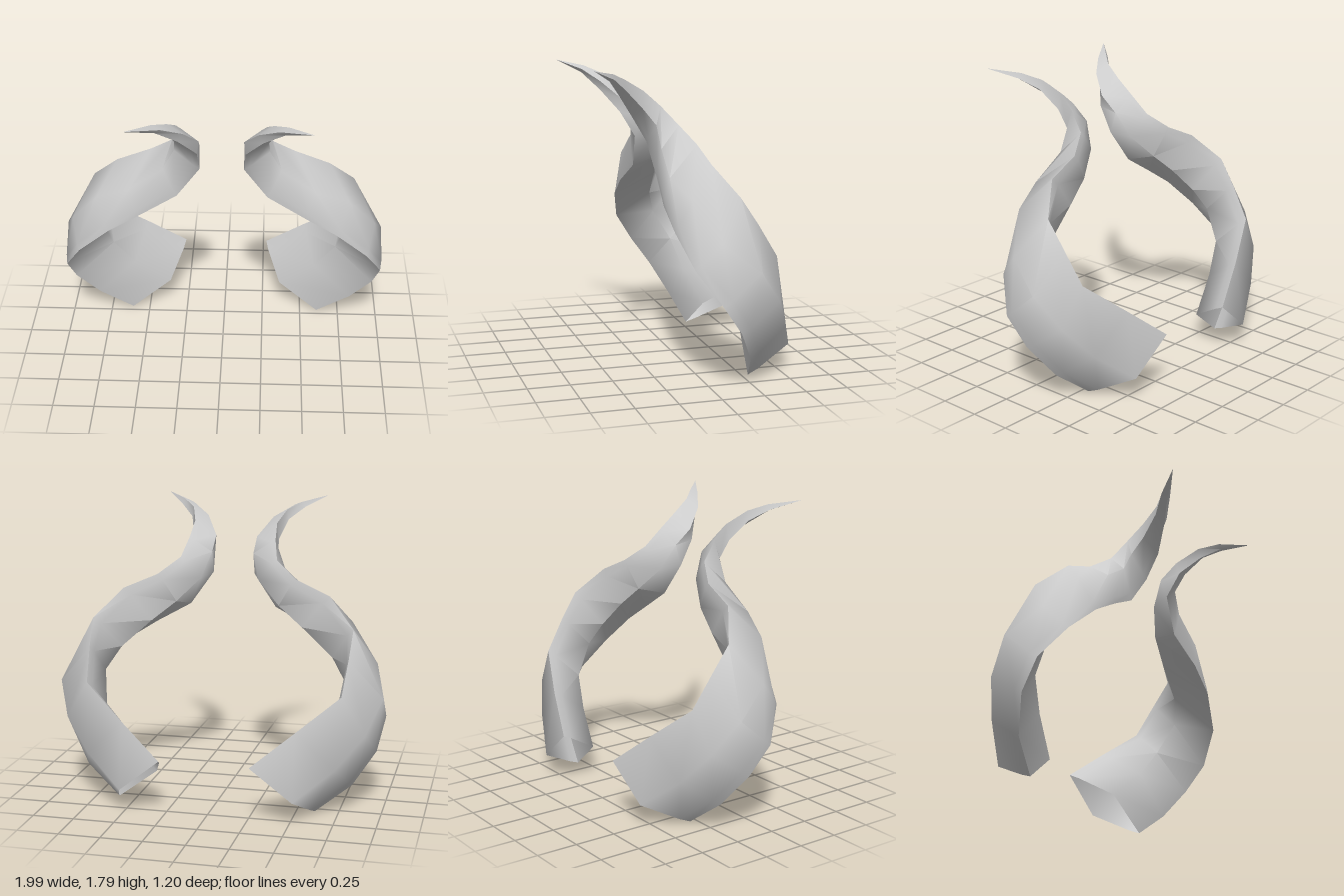
import * as THREE from 'three';
import { toCreasedNormals } from 'three/addons/utils/BufferGeometryUtils.js';

const V = (p) => new THREE.Vector3(...p);

// The four corner rails of the twisting, diamond-section horn, from base to tip
const upperRail = [
  [0.27, 0.36, -0.6], [0.52, 0.56, -0.51], [0.77, 0.76, -0.4], [0.79, 0.95, -0.28],
  [0.8, 1.11, -0.17], [0.64, 1.28, -0.05], [0.43, 1.37, -0.03], [0.3, 1.47, 0.04],
  [0.27, 1.58, 0.14], [0.26, 1.67, 0.24], [0.3, 1.74, 0.36], [0.38, 1.78, 0.45],
].map(V);
const innerRail = [
  [0.36, 0.21, -0.33], [0.58, 0.4, -0.26], [0.71, 0.58, -0.21], [0.75, 0.77, -0.1],
  [0.66, 0.91, -0.05], [0.47, 1.08, -0.03], [0.32, 1.2, 0.0], [0.18, 1.34, 0.07],
  [0.13, 1.49, 0.15], [0.13, 1.58, 0.26], [0.21, 1.69, 0.38], [0.33, 1.76, 0.47],
].map(V);
const lowerRail = [
  [0.61, 0.02, -0.29], [0.82, 0.18, -0.23], [0.95, 0.37, -0.13], [0.985, 0.54, -0.01],
  [0.88, 0.73, 0.12], [0.69, 0.91, 0.18], [0.5, 1.03, 0.19], [0.27, 1.16, 0.165],
  [0.13, 1.36, 0.19], [0.14, 1.51, 0.28], [0.24, 1.64, 0.38], [0.36, 1.74, 0.47],
].map(V);
const outerRail = [
  [0.52, 0.16, -0.58], [0.75, 0.34, -0.47], [0.91, 0.53, -0.37], [0.995, 0.72, -0.23],
  [0.93, 0.88, -0.02], [0.76, 1.1, 0.1], [0.55, 1.2, 0.17], [0.35, 1.34, 0.16],
  [0.28, 1.47, 0.17], [0.27, 1.57, 0.25], [0.31, 1.68, 0.36], [0.4, 1.75, 0.45],
].map(V);
const tip = V([0.52, 1.81, 0.595]);

// Narrow bevel beside a sharp corner, slightly bulged away from the far side
function bevel(corner, side, far) {
  const out = corner.clone().sub(far).multiplyScalar(0.03);
  return corner.clone().lerp(side, 0.26).add(out);
}

function hornGeometry() {
  const pos = [];
  const index = [];
  const sides = 6;
  upperRail.forEach((a, i) => {
    const c = innerRail[i], b = lowerRail[i], d = outerRail[i];
    for (const p of [a, bevel(a, c, b), c, b, bevel(b, d, a), d]) pos.push(p.x, p.y, p.z);
  });
  const last = upperRail.length - 1;
  pos.push(tip.x, tip.y, tip.z);
  for (let i = 0; i <= last; i++) {
    for (let j = 0; j < sides; j++) {
      const p = i * sides + j;
      const q = i * sides + ((j + 1) % sides);
      if (i === last) index.push(p, q, (last + 1) * sides);
      else index.push(p, q, q + sides, p, q + sides, p + sides);
    }
  }
  const geo = new THREE.BufferGeometry();
  geo.setAttribute('position', new THREE.Float32BufferAttribute(pos, 3));
  geo.setIndex(index);
  return toCreasedNormals(geo, THREE.MathUtils.degToRad(62));
}

export function createModel() {
  const group = new THREE.Group();
  group.name = 'hornPair';
  // Horns are open at the base
  const material = new THREE.MeshStandardMaterial({ color: 0xcccccc, side: THREE.DoubleSide });
  const geometry = hornGeometry();
  for (const [name, s] of [['leftHorn', 1], ['rightHorn', -1]]) {
    const horn = new THREE.Mesh(geometry, material);
    horn.name = name;
    horn.scale.x = s;
    horn.position.y = -0.02;
    group.add(horn);
  }
  return group;
}
